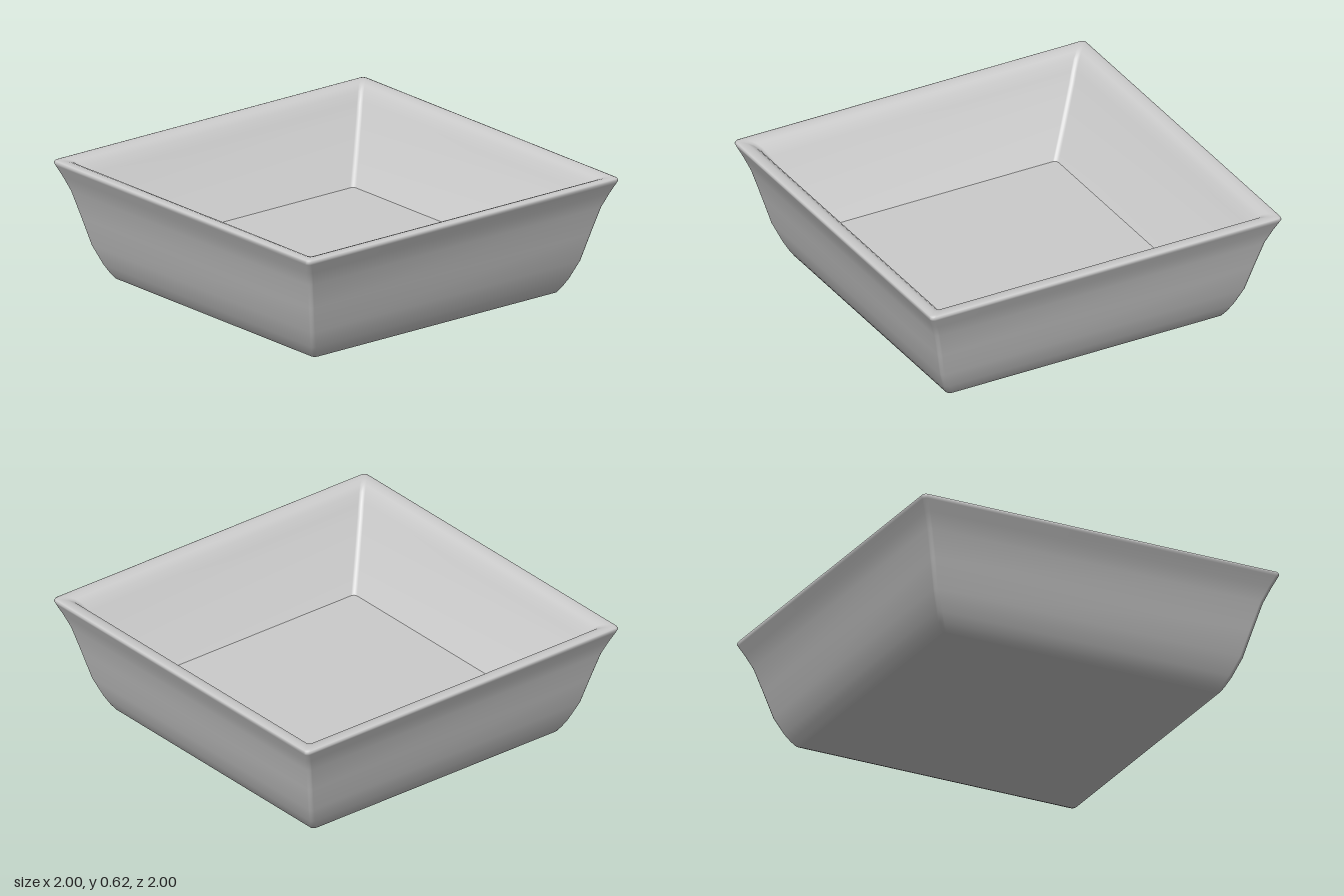
import * as THREE from 'three';

const material = new THREE.MeshStandardMaterial({ color: 0xcccccc });
const CORNER_STEPS = 4;

// Square outline with slightly rounded corners, counter-clockwise
function roundedSquare(half, radius = 0.022) {
  const points = [];
  for (let c = 0; c < 4; c++) {
    const mid = Math.PI / 4 + c * Math.PI / 2;
    const cx = Math.sign(Math.cos(mid)) * (half - radius);
    const cy = Math.sign(Math.sin(mid)) * (half - radius);
    for (let s = 0; s <= CORNER_STEPS; s++) {
      const a = (c + s / CORNER_STEPS) * Math.PI / 2;
      points.push(new THREE.Vector2(cx + radius * Math.cos(a), cy + radius * Math.sin(a)));
    }
  }
  return points;
}

// Joins one square outline per [half width, height] profile point
function loftSquares(profile) {
  const positions = [], indices = [];
  const n = 4 * (CORNER_STEPS + 1);
  for (const [half, y] of profile) {
    for (const p of roundedSquare(half)) positions.push(p.x, y, -p.y);
  }
  for (let j = 0; j < profile.length - 1; j++) {
    for (let i = 0; i < n; i++) {
      const a = j * n + i, b = j * n + (i + 1) % n;
      indices.push(a, b, b + n, a, b + n, a + n);
    }
  }
  const geometry = new THREE.BufferGeometry();
  geometry.setAttribute('position', new THREE.Float32BufferAttribute(positions, 3));
  geometry.setIndex(indices);
  geometry.computeVertexNormals();
  return geometry;
}

function flatSquare(half, y, facing) {
  const geometry = new THREE.ShapeGeometry(new THREE.Shape(roundedSquare(half)));
  return geometry.rotateX(-facing * Math.PI / 2).translate(0, y, 0);
}

export function createModel() {
  const model = new THREE.Group();
  model.name = 'squareBowl';
  const add = (name, geometry) => {
    const mesh = new THREE.Mesh(geometry, material);
    mesh.name = name;
    model.add(mesh);
  };

  // Outside from the foot up, over the rim and down the inside
  add('wallAndRim', loftSquares([
    [0.765, 0], [0.785, 0.008], [0.802, 0.033], [0.826, 0.078], [0.866, 0.175],
    [0.903, 0.32], [0.94, 0.46], [0.97, 0.535], [0.995, 0.59], [1, 0.603],
    [0.996, 0.613], [0.985, 0.617], [0.955, 0.615], [0.93, 0.606], [0.905, 0.583],
    [0.875, 0.54], [0.845, 0.49], [0.74, 0.345], [0.635, 0.21],
  ]));

  add('innerFloor', flatSquare(0.635, 0.21, 1));
  add('base', flatSquare(0.765, 0, -1));

  return model;
}
